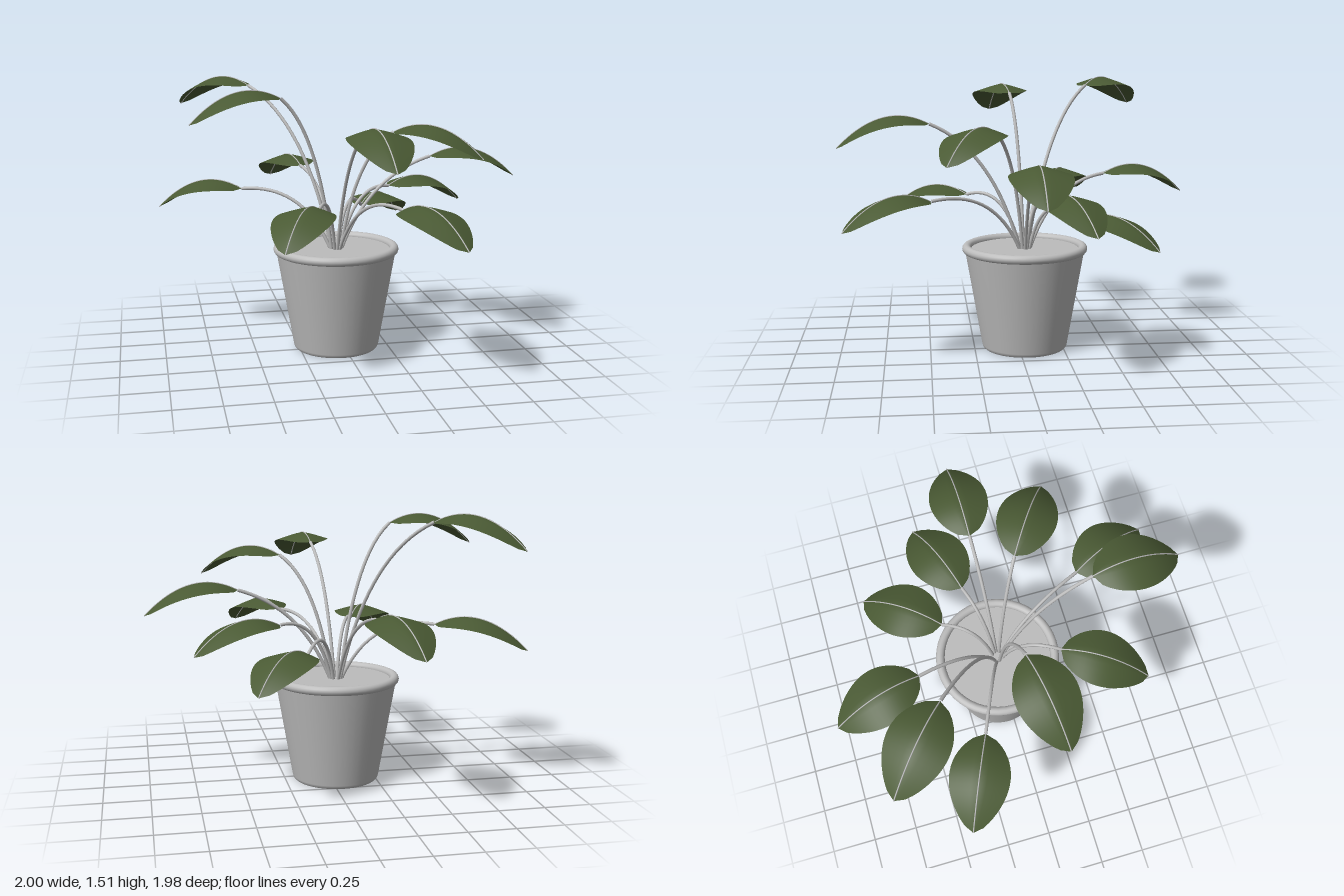
import * as THREE from 'three';

const CX = -0.037, CZ = -0.037; // pot axis

// Each leaf: base x, height, base z, tip x, tip z
const LEAVES = [
  [-0.16, 0.975, -0.50, -0.28, -0.985],
  [-0.47, 1.46, -0.44, -0.845, -0.775],
  [-0.54, 0.895, -0.245, -1.0, -0.445],
  [-0.35, 1.425, 0.02, -0.85, 0.105],
  [-0.19, 0.86, 0.28, -0.43, 0.71],
  [0.01, 1.28, 0.49, 0.05, 0.985],
  [0.21, 0.885, 0.49, 0.415, 0.94],
  [0.245, 1.245, 0.14, 0.67, 0.42],
  [0.50, 1.08, -0.037, 0.997, -0.037],
  [0.29, 0.90, -0.145, 0.76, -0.315],
  [0.165, 0.765, -0.30, 0.475, -0.69],
];

const LEN = 0.5;
const ridge = (t) => 0.27 * t - 0.395 * t * t; // arch of the midrib
const halfWidth = (t) => 0.16 * Math.pow(Math.max(0, Math.sin(Math.PI * Math.pow(t, 0.9))), 0.65);

// Arched blade folded gently down on both sides of the midrib
function leafGeometry() {
  const geo = new THREE.PlaneGeometry(1, 1, 8, 18).rotateX(-Math.PI / 2);
  const p = geo.attributes.position;
  for (let i = 0; i < p.count; i++) {
    const t = THREE.MathUtils.clamp(p.getZ(i) + 0.5, 0, 1);
    const s = p.getX(i) * 2;
    const w = halfWidth(t);
    p.setXYZ(i, s * w, ridge(t) - 0.28 * w * Math.pow(Math.abs(s), 1.2), t * LEN);
  }
  geo.computeVertexNormals();
  return geo;
}

function midribGeometry() {
  const pts = [];
  for (let i = 0; i <= 10; i++) pts.push(new THREE.Vector3(0, ridge(i / 10), (i / 10) * LEN));
  return new THREE.TubeGeometry(new THREE.CatmullRomCurve3(pts), 20, 0.0035, 6);
}

export function createModel() {
  const model = new THREE.Group();
  model.name = 'pottedPlant';

  const green = new THREE.MeshStandardMaterial({ color: 0x4a5a34, side: THREE.DoubleSide });
  green.name = 'leafGreen';
  const grey = new THREE.MeshStandardMaterial({ color: 0xbcbcbc });
  grey.name = 'paleGrey';

  const add = (parent, name, geo, mat) => {
    const mesh = new THREE.Mesh(geo, mat);
    mesh.name = name;
    parent.add(mesh);
    return mesh;
  };

  // Tapered pot with rounded foot, rolled rim and soil disc
  const pot = new THREE.Group();
  pot.name = 'pot';
  pot.position.set(CX, 0, CZ);
  model.add(pot);
  const wall = [[0.23, 0.002], [0.238, 0.01], [0.242, 0.022], [0.335, 0.56]];
  add(pot, 'potWall', new THREE.LatheGeometry(wall.map(([r, y]) => new THREE.Vector2(r, y)), 48), grey);
  const foot = add(pot, 'potBase', new THREE.CircleGeometry(0.23, 48), grey);
  foot.rotation.x = Math.PI / 2;
  foot.position.y = 0.002;
  const rim = add(pot, 'potRim', new THREE.TorusGeometry(0.327, 0.025, 14, 48), grey);
  rim.rotation.x = Math.PI / 2;
  rim.position.y = 0.574;
  const soil = add(pot, 'soil', new THREE.CircleGeometry(0.32, 48), grey);
  soil.rotation.x = -Math.PI / 2;
  soil.position.y = 0.572;

  // Arching stems, each carrying one leaf
  const blade = leafGeometry();
  const rib = midribGeometry();
  LEAVES.forEach(([bx, by, bz, tx, tz], i) => {
    const base = new THREE.Vector3(bx, by, bz);
    const out = new THREE.Vector3(bx - CX, 0, bz - CZ);
    const dir = out.clone().normalize();
    const start = new THREE.Vector3(CX, 0.55, CZ).addScaledVector(dir, 0.025);
    const bend = new THREE.Vector3(CX, 0, CZ).addScaledVector(out, 0.33);
    bend.y = 0.55 + Math.max(0.39, 0.8 * (by - 0.55));
    const curve = new THREE.QuadraticBezierCurve3(start, bend, base);
    add(model, `stem${i + 1}`, new THREE.TubeGeometry(curve, 20, 0.0095, 8), grey);

    const leaf = new THREE.Group();
    leaf.name = `leaf${i + 1}`;
    leaf.position.copy(base);
    leaf.rotation.y = Math.atan2(tx - bx, tz - bz);
    add(leaf, 'leafBlade', blade, green);
    add(leaf, 'leafMidrib', rib, grey);
    model.add(leaf);
  });

  return model;
}
